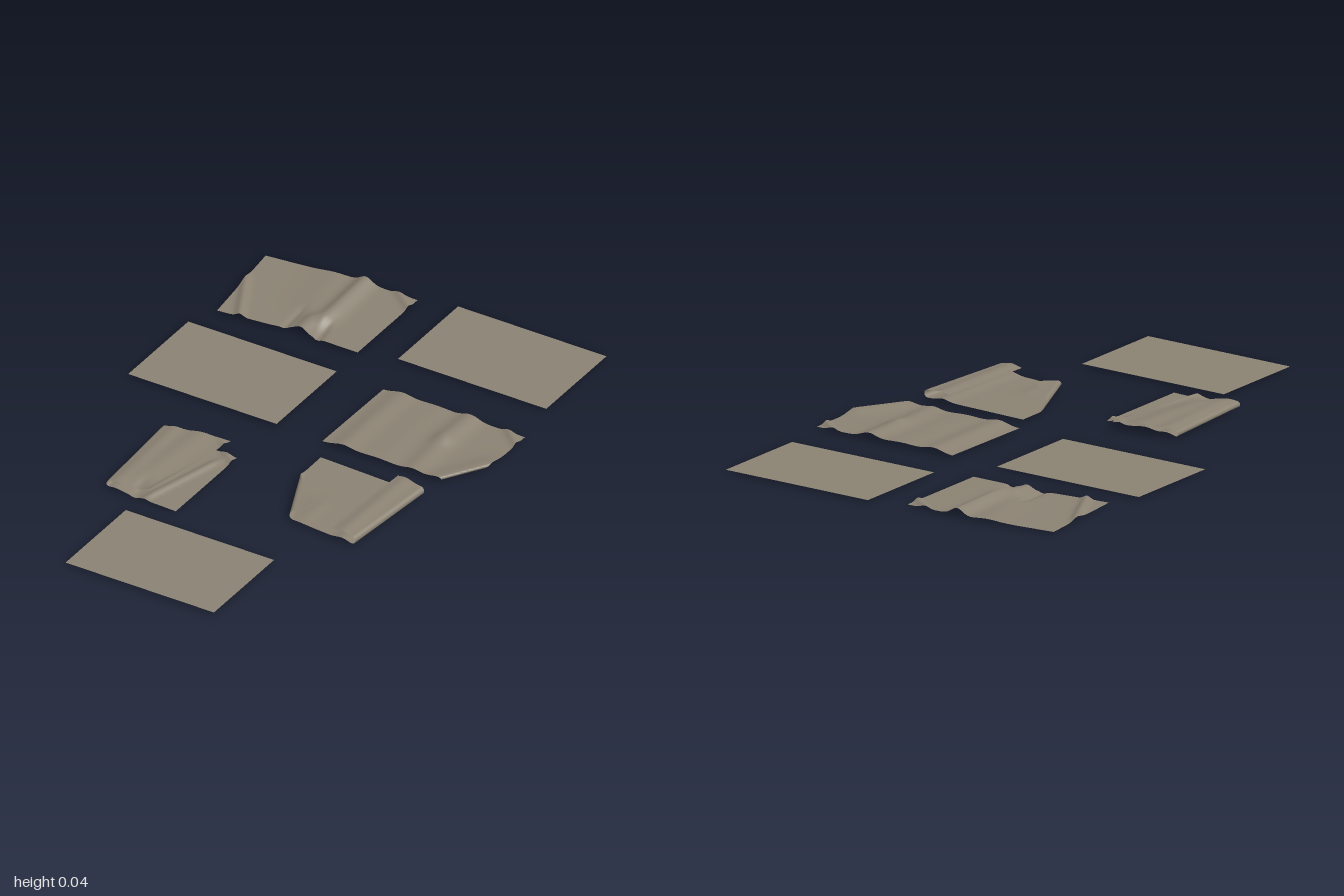
import * as THREE from 'three';

const BASE = 0.007;
const paper = new THREE.MeshStandardMaterial({ color: 0x8a8172, side: THREE.DoubleSide });
paper.name = 'greyBrownPaper';

const lerp = (a, b, t) => a + (b - a) * t;

// Line through two plan points: unit direction and the normal on its right-hand side
function line([ax, az, bx, bz]) {
  const l = Math.hypot(bx - ax, bz - az), dx = (bx - ax) / l, dz = (bz - az) / l;
  return { ax, az, l, dx, dz, nx: dz, nz: -dx };
}

// Soft ridge along a segment, fading past its ends
function ridge(x, z, { seg, h, w }) {
  const L = line(seg), px = x - L.ax, pz = z - L.az;
  const d = px * L.nx + pz * L.nz, s = px * L.dx + pz * L.dz;
  const over = Math.max(0, -s, s - L.l);
  return h * Math.exp(-((d / w) ** 2) - (over / 0.05) ** 2);
}

// Roll everything beyond the fold line round radius r, then lay it back flat
function applyFold(p, { seg, side, r, up }) {
  const L = line(seg), nx = L.nx * side, nz = L.nz * side;
  const d = (p.x - L.ax) * nx + (p.z - L.az) * nz;
  if (d <= 0) return;
  const a = Math.min(d / r, Math.PI);
  const to = r * Math.sin(a) - Math.max(0, d - Math.PI * r);
  p.x += (to - d) * nx;
  p.z += (to - d) * nz;
  p.y += up * r * (1 - Math.cos(a));
}

// Crumpled sheet; corners run back left, back right, front right, front left
function crumpledSheet(name, [bl, br, fr, fl], { folds = [], ridges = [], warp } = {}) {
  const geo = new THREE.PlaneGeometry(1, 1, 110, 64);
  const pos = geo.attributes.position, uv = geo.attributes.uv;
  const p = new THREE.Vector3();
  for (let i = 0; i < pos.count; i++) {
    const u = uv.getX(i), v = 1 - uv.getY(i);
    p.set(
      lerp(lerp(bl[0], br[0], u), lerp(fl[0], fr[0], u), v), BASE,
      lerp(lerp(bl[1], br[1], u), lerp(fl[1], fr[1], u), v));
    if (warp) warp(p);
    folds.forEach(f => applyFold(p, f));
    ridges.forEach(q => { p.y += ridge(p.x, p.z, q); });
    pos.setXYZ(i, p.x, Math.max(p.y, 0.0005), p.z);
  }
  geo.computeVertexNormals();
  const mesh = new THREE.Mesh(geo, paper);
  mesh.name = name;
  return mesh;
}

export function createModel() {
  const group = new THREE.Group();
  group.name = 'paperSheets';

  // Three flat sheets
  [[0.335, -0.8125], [-0.37, -0.267], [0.058, 0.8125]].forEach(([x, z], i) => {
    const sheet = new THREE.Mesh(new THREE.PlaneGeometry(0.574, 0.375).rotateX(-Math.PI / 2), paper);
    sheet.position.set(x, BASE, z);
    sheet.name = `flatSheet${i + 1}`;
    group.add(sheet);
  });

  // Creased sheet, bent sideways at its left end
  group.add(crumpledSheet('creasedSheet',
    [[-0.652, -0.962], [-0.085, -0.962], [-0.085, -0.588], [-0.612, -0.59]], {
      warp: p => {
        p.z += 0.108 * Math.max(0, -0.34 - p.x);
        if (p.z > -0.68) p.z -= 0.012 * Math.exp(-(((p.x + 0.33) / 0.05) ** 2)) * (p.z + 0.68) / 0.09;
      },
      ridges: [
        { seg: [-0.285, -0.97, -0.275, -0.7], h: 0.024, w: 0.032 },
        { seg: [-0.4, -0.97, -0.36, -0.75], h: 0.006, w: 0.06 },
        { seg: [-0.315, -0.66, -0.31, -0.57], h: 0.017, w: 0.03 },
        { seg: [-0.25, -0.66, -0.24, -0.57], h: -0.008, w: 0.014 },
        { seg: [-0.375, -0.68, -0.37, -0.57], h: -0.005, w: 0.012 },
        { seg: [-0.625, -0.76, -0.53, -0.57], h: 0.011, w: 0.016 },
        { seg: [-0.165, -0.97, -0.08, -0.9], h: 0.009, w: 0.014 },
      ],
    }));

  // Wavy sheet with its front right corner tucked under
  group.add(crumpledSheet('tuckedCornerSheet',
    [[0.105, -0.442], [0.653, -0.442], [0.653, -0.07], [0.1, -0.07]], {
      folds: [{ seg: [0.55, -0.07, 0.65, -0.23], side: -1, r: 0.006, up: -1 }],
      ridges: [
        { seg: [0.18, -0.46, 0.18, -0.05], h: 0.013, w: 0.045 },
        { seg: [0.31, -0.46, 0.31, -0.05], h: 0.008, w: 0.09 },
        { seg: [0.445, -0.46, 0.44, -0.3], h: 0.017, w: 0.04 },
        { seg: [0.44, -0.25, 0.45, -0.05], h: 0.012, w: 0.04 },
        { seg: [0.57, -0.46, 0.65, -0.39], h: 0.009, w: 0.014 },
        { seg: [0.55, -0.07, 0.65, -0.23], h: 0.013, w: 0.05 },
      ],
    }));

  // Sheet with its right side rolled over and its front left corner turned up
  group.add(crumpledSheet('rolledSideSheet',
    [[0.147, 0.015], [0.684, 0.035], [0.638, 0.418], [0.15, 0.375]], {
      folds: [
        { seg: [0.543, 0.02, 0.51, 0.405], side: 1, r: 0.014, up: 1 },
        { seg: [0.158, 0.13, 0.268, 0.385], side: -1, r: 0.012, up: 1 },
      ],
      ridges: [
        { seg: [0.48, 0.02, 0.47, 0.4], h: 0.008, w: 0.03 },
        { seg: [0.3, 0.28, 0.3, 0.33], h: 0.004, w: 0.03 },
      ],
    }));

  // Sheet folded in half with a slanting upper layer
  group.add(crumpledSheet('foldedSheet',
    [[-0.638, 0.143], [-0.085, 0.165], [-0.085, 0.545], [-0.529, 0.528]], {
      folds: [{ seg: [-0.373, 0.13, -0.35, 0.535], side: -1, r: 0.01, up: 1 }],
      ridges: [
        { seg: [-0.335, 0.1, -0.325, 0.5], h: 0.008, w: 0.03 },
        { seg: [-0.24, 0.1, -0.27, 0.45], h: 0.01, w: 0.05 },
        { seg: [-0.135, 0.25, -0.2, 0.5], h: 0.009, w: 0.015 },
        { seg: [-0.13, 0.16, -0.08, 0.2], h: 0.008, w: 0.014 },
        { seg: [-0.25, 0.5, -0.25, 0.56], h: -0.006, w: 0.02 },
      ],
    }));

  return group;
}
